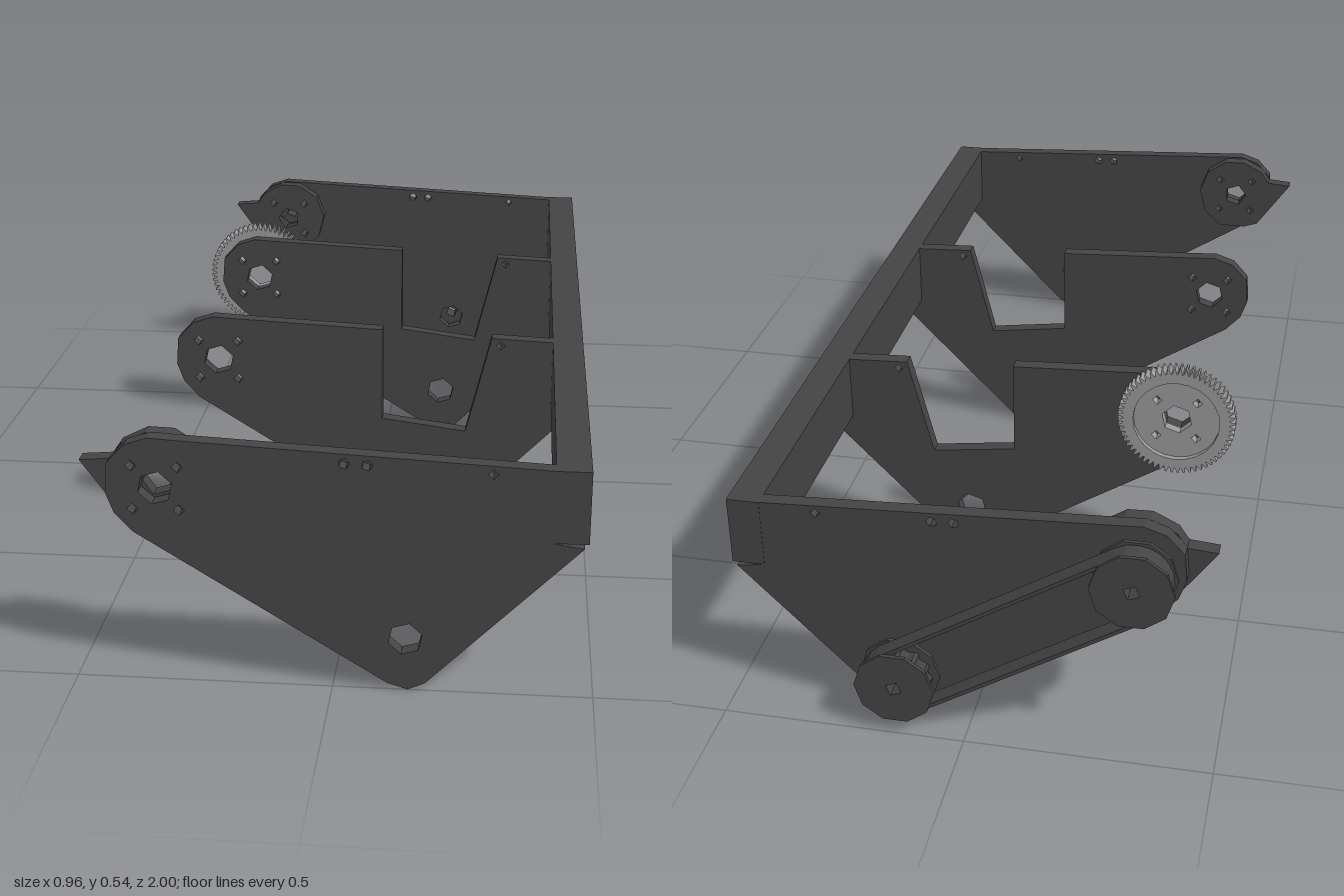
import * as THREE from 'three';

const charcoal = new THREE.MeshStandardMaterial({ color: 0x444444, flatShading: true });
charcoal.name = 'charcoal';
const gearGrey = new THREE.MeshStandardMaterial({ color: 0x999999, flatShading: true });
gearGrey.name = 'gear grey';

const SHAFT = [-0.33, 0.412]; // upper shaft centre
const MOTOR = [0.14, 0.115]; // lower shaft centre

// Corners of a regular polygon
function ring(cx, cy, r, n, turn = 0) {
  return Array.from({ length: n }, (_, i) => {
    const a = turn + (i / n) * Math.PI * 2;
    return [cx + r * Math.cos(a), cy + r * Math.sin(a)];
  });
}

const toVectors = (pts) => pts.map(([x, y]) => new THREE.Vector2(x, y));

// Flat plate with holes, lying between z0 and z1
function plate(name, outline, holes, z0, z1, material = charcoal) {
  const shape = new THREE.Shape(toVectors(outline));
  shape.holes = holes.map((h) => new THREE.Path(toVectors(h)));
  const geo = new THREE.ExtrudeGeometry(shape, { depth: z1 - z0, bevelEnabled: false });
  geo.translate(0, 0, z0);
  const mesh = new THREE.Mesh(geo, material);
  mesh.name = name;
  return mesh;
}

const boltHoles = () => [[-1, -1], [1, -1], [1, 1], [-1, 1]].map(([sx, sy]) =>
  ring(SHAFT[0] + sx * 0.044, SHAFT[1] + sy * 0.044, 0.011, 4));

// Side plate; inner ones have a notch cut from the top edge
function supportPlate(name, z, notched) {
  const notch = notched ? [[0.28, 0.481], [0.225, 0.258], [0.038, 0.283], [0.038, 0.494]] : [];
  const outline = [
    [-0.425, 0.4], [-0.41, 0.358], [-0.375, 0.32], [0.105, 0.018], [0.145, 0.005], [0.178, 0.02],
    [0.472, 0.32], [0.415, 0.328], [0.415, 0.475], ...notch,
    [-0.29, 0.51], [-0.34, 0.513], [-0.385, 0.498], [-0.42, 0.46],
  ];
  const holes = [ring(...SHAFT, 0.034, 6, 0.3), ring(...MOTOR, 0.034, 6, 0.3), ...boltHoles(),
    ring(0.3, 0.464, 0.01, 4)];
  if (!notched) holes.push(ring(0.025, 0.475, 0.011, 5), ring(0.068, 0.473, 0.011, 5));
  return plate(name, outline, holes, z, z + 0.03);
}

// Hooked cam beside each outer plate
function cam(name, z) {
  const outline = [
    [-0.48, 0.45], [-0.395, 0.33], [-0.36, 0.318], [-0.29, 0.318], [-0.245, 0.36], [-0.23, 0.42],
    [-0.25, 0.475], [-0.3, 0.508], [-0.35, 0.51], [-0.4, 0.485], [-0.42, 0.455],
  ];
  return plate(name, outline, [ring(...SHAFT, 0.03, 5, 0.6), ...boltHoles()], z, z + 0.031);
}

// Toothed ring with a thinner web
function gear() {
  const group = new THREE.Group();
  group.name = 'gear';
  const teeth = 60;
  const outline = [];
  for (let i = 0; i < teeth; i++) {
    [[0, 0.117], [0.3, 0.129], [0.55, 0.129], [0.85, 0.117]].forEach(([f, r]) => {
      const a = ((i + f) / teeth) * Math.PI * 2;
      outline.push([SHAFT[0] + r * Math.cos(a), SHAFT[1] + r * Math.sin(a)]);
    });
  }
  group.add(
    plate('gearRim', outline, [ring(...SHAFT, 0.095, 24)], -0.36, -0.328, gearGrey),
    plate('gearWeb', ring(...SHAFT, 0.095, 24), [ring(...SHAFT, 0.034, 6, 0.3), ...boltHoles()],
      -0.348, -0.328, gearGrey),
  );
  return group;
}

// Flanged pulley with a grooved drum
function pulley(name, [cx, cy]) {
  const group = new THREE.Group();
  group.name = name;
  const bore = () => [ring(cx, cy, 0.017, 4, 0.4)];
  const drum = ring(cx, cy, 0.066, 48).map(([x, y], i) => {
    const k = i % 4 < 2 ? 1 : 0.9;
    return [cx + (x - cx) * k, cy + (y - cy) * k];
  });
  group.add(
    plate('rearFlange', ring(cx, cy, 0.082, 10), bore(), -1, -0.992),
    plate('drum', drum, bore(), -0.992, -0.948),
    plate('frontFlange', ring(cx, cy, 0.082, 10), bore(), -0.948, -0.94),
  );
  return group;
}

// Belt loop around both pulleys
function belt() {
  const dx = MOTOR[0] - SHAFT[0], dy = MOTOR[1] - SHAFT[1];
  const length = Math.hypot(dx, dy), steps = 10;
  const loop = (r) => {
    const pts = [];
    for (const [cx, start] of [[0, Math.PI / 2], [length, -Math.PI / 2]]) {
      for (let i = 0; i <= steps; i++) {
        const a = start + (i / steps) * Math.PI;
        pts.push([cx + r * Math.cos(a), r * Math.sin(a)]);
      }
    }
    return pts;
  };
  const mesh = plate('belt', loop(0.075), [loop(0.067)], -0.99, -0.95);
  mesh.position.set(SHAFT[0], SHAFT[1], 0);
  mesh.rotation.z = Math.atan2(dy, dx);
  return mesh;
}

export function createModel() {
  const model = new THREE.Group();
  model.name = 'rollerFrame';

  // Long cross beam
  const beam = new THREE.Mesh(new THREE.BoxGeometry(0.066, 0.146, 1.928), charcoal);
  beam.name = 'crossBeam';
  beam.position.set(0.447, 0.402, 0.036);

  model.add(
    beam,
    supportPlate('frontPlate', 0.97, false),
    supportPlate('innerFrontPlate', 0.28, true),
    supportPlate('innerRearPlate', -0.328, true),
    supportPlate('rearPlate', -0.927, false),
    cam('frontCam', 0.936),
    cam('rearCam', -0.896),
    gear(),
    pulley('upperPulley', SHAFT),
    pulley('lowerPulley', MOTOR),
    belt(),
  );
  return model;
}
